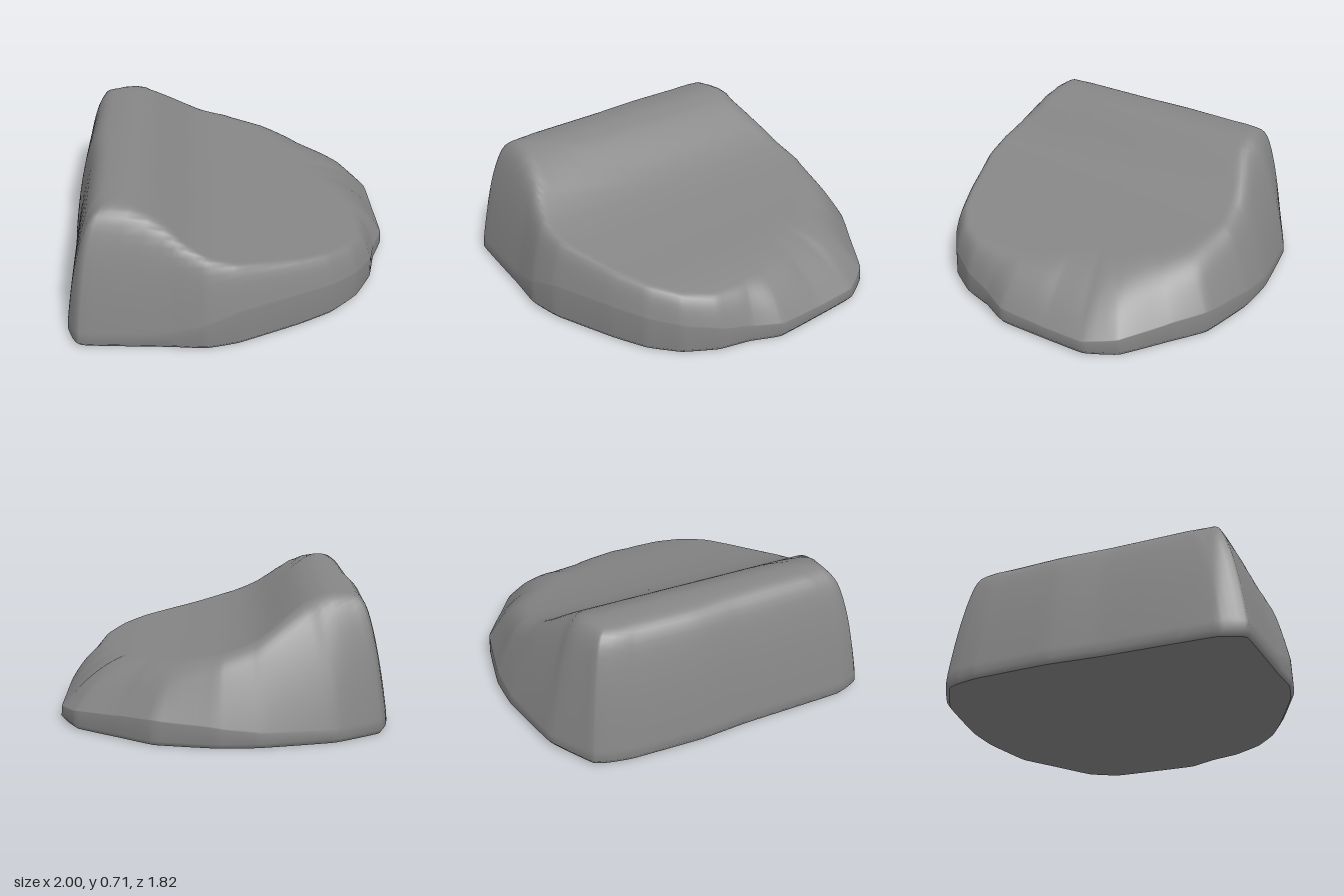
import * as THREE from 'three';

// Plan outline, clockwise from the back left corner: x, z, rim height, wall steepness
const OUTLINE = [
  [-0.45, -0.865, 0.04, 8], [-0.18, -0.91, 0.04, 5], [0.2, -0.85, 0.06, 3.4], [0.4, -0.78, 0.09, 2.8],
  [0.67, -0.62, 0.12, 1.7], [0.8, -0.45, 0.11, 1.4], [0.965, -0.23, 0.09, 1.2], [0.995, -0.05, 0.07, 1.1],
  [0.92, 0.18, 0.07, 1.3], [0.835, 0.42, 0.08, 1.8], [0.72, 0.54, 0.09, 2.6], [0.62, 0.68, 0.12, 3.4],
  [0.47, 0.8, 0.15, 4], [0.3, 0.865, 0.17, 4.2], [0.1, 0.89, 0.18, 4.5], [-0.24, 0.905, 0.18, 5],
  [-0.41, 0.88, 0.12, 5.5], [-0.58, 0.8, 0.06, 6.2], [-0.985, 0.62, 0.04, 7], [-1, 0.48, 0.04, 7.6],
  [-0.93, 0.28, 0.04, 7.6], [-0.8, -0.08, 0.04, 7.6], [-0.72, -0.34, 0.04, 7.6], [-0.57, -0.7, 0.04, 7.6],
  [-0.51, -0.8, 0.04, 8],
];

// Height of the top across the ridge: distance across, height
const PROFILE = [
  [-0.8, 0.65], [-0.64, 0.685], [-0.5, 0.71], [-0.4, 0.695], [-0.3, 0.64], [-0.2, 0.555], [-0.1, 0.485],
  [0.05, 0.43], [0.3, 0.375], [0.6, 0.325], [0.75, 0.285], [0.95, 0.2],
];

const STEPS = 5; // subdivisions of each outline edge
const RINGS = 40; // rings from the rim to the middle

function profileAt(u) {
  for (let i = 1; i < PROFILE.length; i++) {
    const [u0, h0] = PROFILE[i - 1], [u1, h1] = PROFILE[i];
    if (u <= u1) return h0 + (h1 - h0) * Math.max(0, (u - u0) / (u1 - u0));
  }
  return PROFILE[PROFILE.length - 1][1];
}

// Slightly rounded outline sampled as points, each with its rim height and wall steepness
function sampleBorder() {
  const corners = OUTLINE.map(([x, z]) => new THREE.Vector3(x, 0, z));
  const curve = new THREE.CatmullRomCurve3(corners, true, 'catmullrom', 0.15);
  const n = OUTLINE.length;
  return Array.from({ length: n * STEPS }, (_, i) => {
    const t = (i % STEPS) / STEPS;
    const a = OUTLINE[Math.floor(i / STEPS)], b = OUTLINE[(Math.floor(i / STEPS) + 1) % n];
    return {
      point: curve.getPoint(i / (n * STEPS)),
      rim: THREE.MathUtils.lerp(a[2], b[2], t),
      steepness: THREE.MathUtils.lerp(a[3], b[3], t),
    };
  });
}

// Distance from a point to the nearest edge
function edgeDistance(p, edges) {
  const q = new THREE.Vector3();
  return Math.min(...edges.map(e => e.closestPointToPoint(p, true, q).distanceTo(p)));
}

// Smooth minimum of the ridged top and a wall that leans in as it rises
function heightAt(p, distance, rim, steepness) {
  const u = 0.93 * p.x + 0.36 * p.z, v = 0.36 * p.x - 0.93 * p.z;
  let top = -0.012 * v;
  for (const o of [-0.06, -0.02, 0.02, 0.06]) top += profileAt(u + o) / 4;
  const wall = rim + 0.9 * (1 - Math.exp(-steepness * distance / 0.9));
  const k = 0.1, h = Math.max(k - Math.abs(top - wall), 0) / k;
  return Math.min(top, wall) - h * h * k * 0.25;
}

// Skin a stack of closed rings, each an array of Vector3
function loft(rings) {
  const n = rings[0].length, index = [];
  for (let r = 0; r < rings.length - 1; r++) {
    for (let i = 0; i < n; i++) {
      const a = r * n + i, b = r * n + (i + 1) % n;
      index.push(a, a + n, b, b, a + n, b + n);
    }
  }
  const geometry = new THREE.BufferGeometry().setFromPoints(rings.flat());
  geometry.setIndex(index);
  geometry.computeVertexNormals();
  return geometry;
}

export function createModel() {
  const group = new THREE.Group();
  group.name = 'boulder';
  const material = new THREE.MeshStandardMaterial({ color: 0x868686 });

  const border = sampleBorder();
  const edges = border.map((b, i) => new THREE.Line3(b.point, border[(i + 1) % border.length].point));
  const flatRing = (scale, y) => border.map(b => b.point.clone().multiplyScalar(scale).setY(y));

  // Walls and top: a small foot bevel, then rings closing towards the middle
  const rings = [flatRing(0.98, 0), flatRing(1, 0.025)];
  for (let r = 0; r <= RINGS; r++) {
    const scale = 0.995 * Math.max(0.001, 1 - Math.pow(r / RINGS, 1.6));
    rings.push(border.map(({ point, rim, steepness }) => {
      const p = point.clone().multiplyScalar(scale);
      p.y = heightAt(p, edgeDistance(p, edges), rim, steepness);
      return p;
    }));
  }
  const body = new THREE.Mesh(loft(rings), material);
  body.name = 'rockBody';

  // Flat underside
  const base = new THREE.Mesh(loft([flatRing(0.001, 0), flatRing(0.98, 0)]), material);
  base.name = 'rockUnderside';

  group.add(body, base);
  return group;
}
